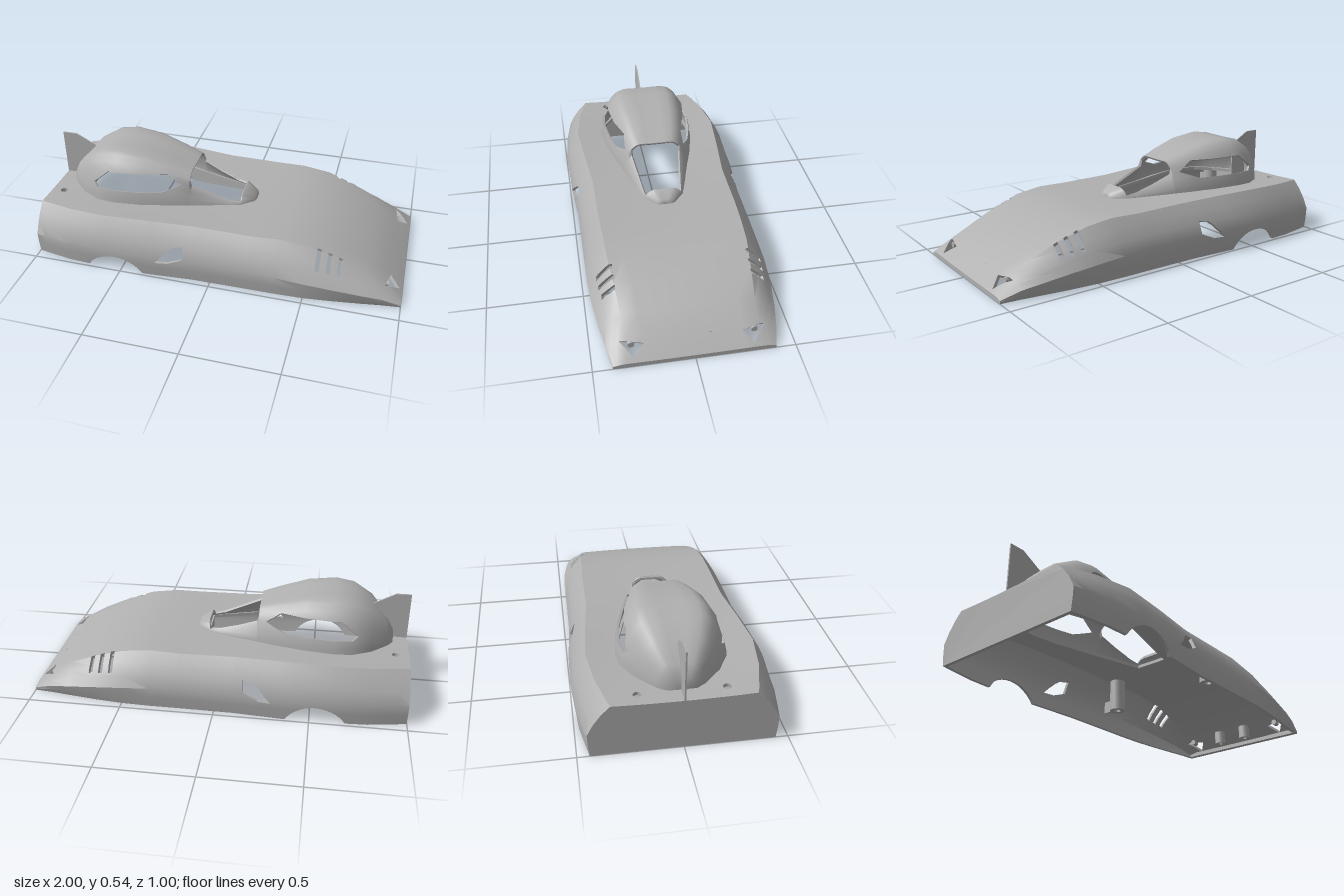
import * as THREE from 'three';
import { toCreasedNormals } from 'three/addons/utils/BufferGeometryUtils.js';

const grey = new THREE.MeshStandardMaterial({ color: 0xb0b0b0, side: THREE.DoubleSide });
grey.name = 'plain grey';

// Body stations: x, bottom half width, widest half width, its y, shoulder z, shoulder y, centre y
const BODY = [
  [-1, .44, .45, .12, .34, .272, .265], [-.8, .475, .485, .125, .395, .287, .272],
  [-.6, .485, .5, .125, .42, .298, .275], [-.35, .485, .495, .125, .4, .295, .278],
  [-.1, .468, .477, .12, .376, .287, .278], [.2, .465, .475, .12, .376, .283, .278],
  [.35, .465, .475, .115, .37, .287, .28], [.5, .46, .475, .105, .365, .268, .268],
  [.65, .445, .465, .09, .35, .22, .222], [.8, .425, .445, .068, .335, .155, .16],
  [.9, .41, .425, .05, .33, .098, .1], [1, .4, .4, .015, .34, .025, .022]];

// Canopy stations: x, half width, top y
const CANOPY = [
  [-.921, .002, .272], [-.92, .07, .32], [-.88, .125, .385], [-.8, .205, .47], [-.7, .262, .525],
  [-.6, .275, .54], [-.45, .258, .525], [-.3, .222, .482], [-.2, .19, .45], [-.19, .187, .41],
  [.02, .128, .323], [.07, .112, .318], [.08, .106, .33], [.14, .055, .3], [.15, .04, .28], [.151, .002, .272]];
const DOME = [[1, 0], [.99, .15], [.96, .3], [.9, .5], [.82, .68], [.72, .84], [.6, .95], [.48, .995], [.24, .99], [0, .985]];

// Smooth interpolation through stations without overshoot
function at(table, x) {
  let i = 0;
  while (i < table.length - 2 && x > table[i + 1][0]) i++;
  const h = table[i + 1][0] - table[i][0], t = (x - table[i][0]) / h;
  const slope = (k, c) => (table[k + 1][c] - table[k][c]) / (table[k + 1][0] - table[k][0]);
  const tangent = (k, c) => {
    if (k === 0) return slope(0, c);
    if (k === table.length - 1) return slope(k - 1, c);
    const a = slope(k - 1, c), b = slope(k, c);
    return a * b <= 0 ? 0 : 2 * a * b / (a + b);
  };
  return table[i].map((v, c) => c === 0 ? x :
    v * (1 + 2 * t) * (1 - t) ** 2 + table[i + 1][c] * t * t * (3 - 2 * t)
    + h * (tangent(i, c) * t * (1 - t) ** 2 + tangent(i + 1, c) * t * t * (t - 1)));
}

// Half sections as [z, y], from the bottom edge to the centre line
function bodyHalf(x) {
  const [, wb, ww, yw, zs, ys, yc] = at(BODY, x);
  const side = t => [ww + (zs - ww) * t + .03 * t * (1 - t), yw + (ys - yw) * t + .03 * t * (1 - t) * ys / .28];
  const deck = t => [zs * t, yc + (ys - yc) * t * t];
  return [[wb, 0], [(wb + ww) / 2 + .002, yw / 2], [ww, yw], side(.33), side(.67), [zs, ys], deck(.75), deck(.5), deck(.25), deck(0)];
}
function canopyHalf(x) {
  const [, w, top] = at(CANOPY, x);
  return DOME.map(([u, v]) => [u * w, .27 + v * (top - .27)]);
}
const mirrored = half => [...half, ...half.slice(0, -1).reverse().map(([z, y]) => [-z, y])];

// Triangles of a skin lofted along x; a corner is position, shading normal, offset normal
function loft(table, half, step, crease) {
  const xs = table.map(s => s[0]);
  for (let x = xs[0] + step; x < xs[xs.length - 1]; x += step)
    if (xs.every(v => Math.abs(v - x) > step * .3)) xs.push(x);
  xs.sort((a, b) => a - b);
  const pos = [], index = [];
  let n = 0;
  xs.forEach((x, i) => {
    const row = mirrored(half(x));
    n = row.length;
    row.forEach(([z, y], j) => {
      pos.push(x, y, z);
      if (i && j) {
        const d = i * n + j, c = d - 1, b = d - n, a = b - 1;
        index.push(a, c, b, c, d, b);
      }
    });
  });
  const g = new THREE.BufferGeometry();
  g.setAttribute('position', new THREE.Float32BufferAttribute(pos, 3));
  g.setIndex(index);
  g.computeVertexNormals();
  const flat = toCreasedNormals(g, crease).attributes.normal, m = g.attributes.normal;
  const corners = index.map((v, k) => [pos[3 * v], pos[3 * v + 1], pos[3 * v + 2],
    flat.getX(k), flat.getY(k), flat.getZ(k), m.getX(v), m.getY(v), m.getZ(v)]);
  const tris = [];
  for (let k = 0; k < corners.length; k += 3) tris.push(corners.slice(k, k + 3));
  return tris;
}

// Cut a convex hole, given in the plane of axes a and b; hole edges are added to rims
function cut(tris, hole, a, b, rims) {
  const area = hole.reduce((s, p, i) => {
    const q = hole[(i + 1) % hole.length];
    return s + p[0] * q[1] - q[0] * p[1];
  }, 0);
  const lines = hole.map((p, i) => {
    const q = hole[(i + 1) % hole.length], l = Math.hypot(q[0] - p[0], q[1] - p[1]) * Math.sign(area);
    return v => ((q[0] - p[0]) * (v[b] - p[1]) - (q[1] - p[1]) * (v[a] - p[0])) / l;
  });
  const out = [];
  for (const tri of tris) {
    let rest = tri;
    const kept = [];
    for (const dist of lines) {
      const inside = [], outside = [];
      rest.forEach((p, i) => {
        const q = rest[(i + 1) % rest.length], dp = dist(p), dq = dist(q);
        if (dp >= -1e-9) inside.push(p);
        if (dp <= 1e-9) outside.push(p);
        if ((dp > 1e-9 && dq < -1e-9) || (dp < -1e-9 && dq > 1e-9)) {
          const m = p.map((v, c) => v + (q[c] - v) * dp / (dp - dq));
          inside.push(m);
          outside.push(m);
        }
      });
      for (let i = 2; i < outside.length; i++) kept.push([outside[0], outside[i - 1], outside[i]]);
      rest = inside;
      if (rest.length < 3) break;
    }
    if (rest.length < 3) { out.push(tri); continue; }
    out.push(...kept);
    rest.forEach((p, i) => {
      const q = rest[(i + 1) % rest.length];
      if (lines.some(d => Math.abs(d(p)) < 1e-7 && Math.abs(d(q)) < 1e-7)) rims.push([p, q]);
    });
  }
  return out;
}

// Give the skin thickness: outer face, inner face and rims
function shell(tris, rims, t) {
  const pos = [], nor = [];
  const inner = p => [p[0] - t * p[6], p[1] < 1e-6 ? 0 : Math.max(0, p[1] - t * p[7]), p[2] - t * p[8]];
  for (const tri of tris) {
    tri.forEach(p => { pos.push(...p.slice(0, 3)); nor.push(...p.slice(3, 6)); });
    [tri[0], tri[2], tri[1]].forEach(p => { pos.push(...inner(p)); nor.push(-p[3], -p[4], -p[5]); });
    tri.forEach((p, i) => {
      const q = tri[(i + 1) % 3];
      if (p[1] < 1e-6 && q[1] < 1e-6) rims.push([q, p]);
    });
  }
  for (const [p, q] of rims) {
    const A = p.slice(0, 3), B = q.slice(0, 3), C = inner(q), D = inner(p);
    const v = k => new THREE.Vector3(...k);
    const n = v(B).sub(v(A)).cross(v(D).sub(v(A))).normalize();
    for (const c of [A, B, C, A, C, D]) { pos.push(...c); nor.push(n.x, n.y, n.z); }
  }
  const g = new THREE.BufferGeometry();
  g.setAttribute('position', new THREE.Float32BufferAttribute(pos, 3));
  g.setAttribute('normal', new THREE.Float32BufferAttribute(nor, 3));
  return g;
}

const circle = (x, y, r, n) => Array.from({ length: n }, (_, i) =>
  [x + r * Math.cos(i / n * 2 * Math.PI), y + r * Math.sin(i / n * 2 * Math.PI)]);

export function createModel() {
  const model = new THREE.Group();
  const add = (name, geometry, x = 0, y = 0, z = 0) => {
    const mesh = new THREE.Mesh(geometry, grey);
    mesh.name = name;
    mesh.position.set(x, y, z);
    model.add(mesh);
    return mesh;
  };

  // Body shell with wheel arches, side intakes, slits, lamp openings and cockpit opening
  let rims = [], skin = loft(BODY, bodyHalf, .05, .5);
  skin = cut(skin, circle(-.53, -.088, .178, 40), 0, 1, rims);
  skin = cut(skin, [[-.15, .195], [-.21, .185], [-.235, .165], [-.3, .09], [-.23, .095], [-.15, .13]], 0, 1, rims);
  for (const s of [1, -1]) {
    for (const [x, z] of [[.548, .43], [.605, .425], [.66, .415]])
      skin = cut(skin, [[x, s * .345], [x + .023, s * .345], [x + .023, s * z], [x, s * z]], 0, 2, rims);
    skin = cut(skin, [[.908, s * .36], [.93, s * .245], [.985, s * .295]], 0, 2, rims);
    skin = cut(skin, circle(-.93, s * .21, .02, 16), 0, 2, rims);
  }
  const opening = [[-.88, .08], [-.8, .175], [-.7, .238], [-.6, .253], [-.45, .236], [-.2, .168], [.075, .095]];
  skin = cut(skin, [...opening, ...opening.map(([x, z]) => [x, -z]).reverse()], 0, 2, rims);
  add('bodyShell', shell(skin, rims, .018));

  // Tail panel and nose lip, closing the ends of the shell
  for (const [name, x, depth] of [['tailPanel', -1, .018], ['noseLip', 1, -.03]]) {
    const shape = new THREE.Shape(mirrored(bodyHalf(x)).map(([z, y]) => new THREE.Vector2(-z, y)));
    const g = new THREE.ExtrudeGeometry(shape, { depth: Math.abs(depth), bevelEnabled: false });
    g.rotateY(Math.PI / 2);
    add(name, g, Math.min(x, x + depth));
  }

  // Canopy with side windows and windscreen opening
  rims = [];
  skin = loft(CANOPY, canopyHalf, .03, .7);
  skin = cut(skin, [[-.73, .375], [-.64, .45], [-.32, .45], [-.24, .395], [-.35, .355], [-.7, .355]], 0, 1, rims);
  skin = cut(skin, [[-.199, .14], [.075, .1], [.075, -.1], [-.199, -.14]], 0, 2, rims);
  add('canopy', shell(skin, rims, .012));

  // Tail fin
  const fin = new THREE.Shape([[-1, .25], [-.8, .25], [-.8, .46], [-.92, .525], [-1, .525]].map(p => new THREE.Vector2(...p)));
  add('tailFin', new THREE.ExtrudeGeometry(fin, { depth: .008, bevelEnabled: false }), 0, 0, -.004);

  // Hollow mounting posts, gussets and lamps
  const post = (r, hole, h) => toCreasedNormals(new THREE.LatheGeometry(
    [[hole, h], [hole, 0], [r, 0], [r, h]].map(p => new THREE.Vector2(...p)), 24), .6);
  for (const s of [1, -1]) {
    add('rearPost', post(.044, .02, .145), -.92, .105, s * .325);
    add('middlePost', post(.044, .02, .185), .16, .08, s * .328);
    add('nosePost', post(.032, .015, .075), .89, .01, s * .09);
    add('rearGusset', new THREE.BoxGeometry(.012, .07, .06), -.92, .145, s * .39);
    add('middleGusset', new THREE.BoxGeometry(.012, .07, .06), .16, .12, s * .395);
    add('lamp', new THREE.CylinderGeometry(.016, .016, .035, 20), .908, .067, s * .305).rotation.z = Math.PI / 2;
  }
  return model;
}
